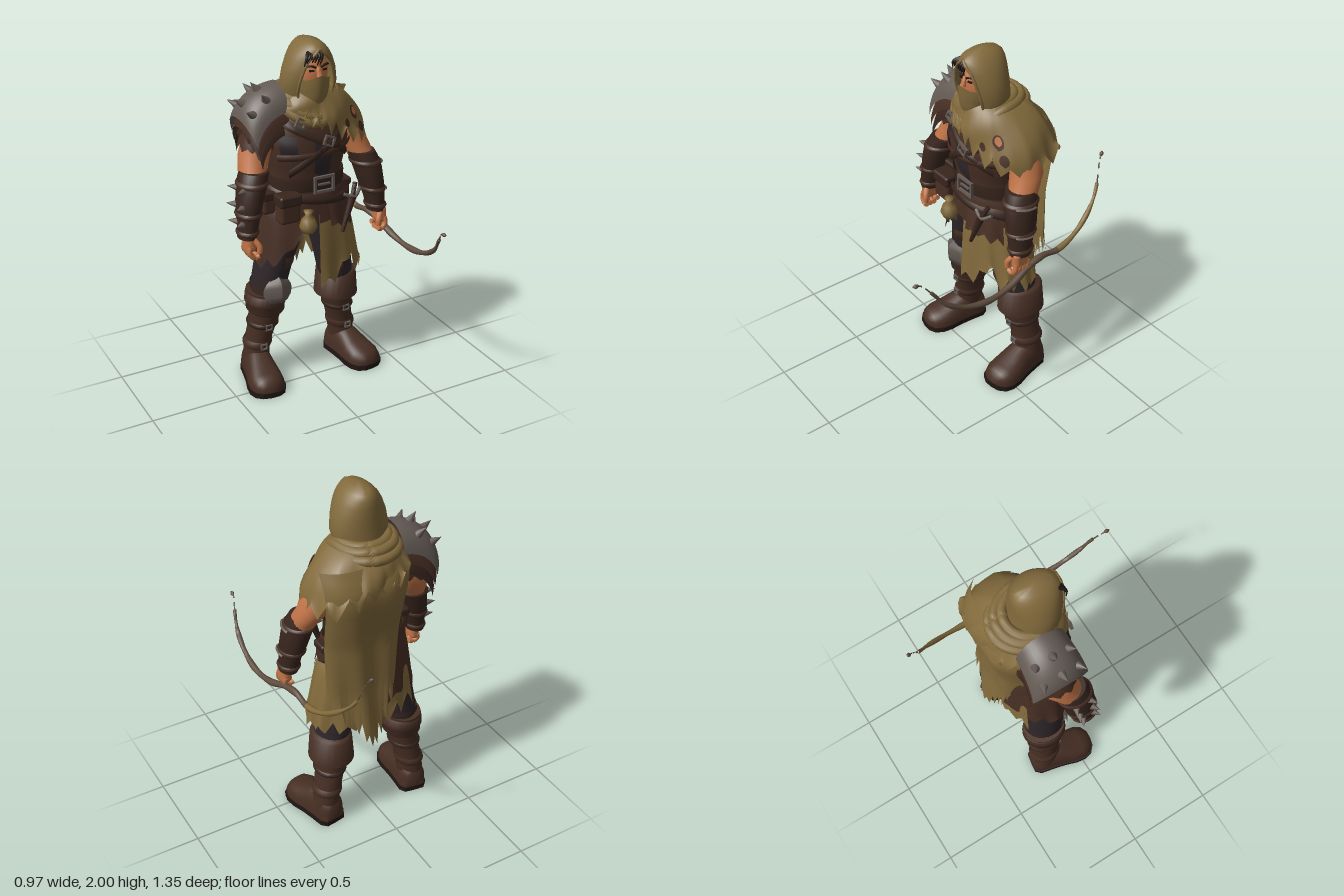
import * as THREE from 'three';
import { mergeVertices, toCreasedNormals } from 'three/addons/utils/BufferGeometryUtils.js';
import { RoundedBoxGeometry } from 'three/addons/geometries/RoundedBoxGeometry.js';

const { sin, cos, PI, abs, floor, exp, max } = Math;
const paint = (name, color) => new THREE.MeshStandardMaterial({ name, color, side: THREE.DoubleSide });
const tan = paint('tan cloth', 0x826a3c), leather = paint('brown leather', 0x472f24), dark = paint('dark leather', 0x38251d);
const trouser = paint('dark cloth', 0x2f272a), skin = paint('skin', 0xc27548), metal = paint('dull metal', 0x655b55);
const wood = paint('bow wood', 0x5f4d3f), black = paint('hair and soles', 0x211713);

const hash = n => { const s = sin(n * 127.1 + 3.7) * 43758.5; return s - floor(s); };
// pointed tears of varying depth
const rag = t => { const k = floor(t), f = t - k; return (0.35 + 0.65 * hash(k)) * (1 - abs(2 * f - 1)); };
const lerp = (a, b, t) => a + (b - a) * t;

// surface from a rule fn(u, v) -> [x, y, z]
function grid(nu, nv, fn) {
  const pos = [], idx = [];
  for (let j = 0; j <= nv; j++) for (let i = 0; i <= nu; i++) pos.push(...fn(i / nu, j / nv));
  for (let j = 0; j < nv; j++) for (let i = 0; i < nu; i++) {
    const a = j * (nu + 1) + i, b = a + nu + 1;
    idx.push(a, a + 1, b + 1, a, b + 1, b);
  }
  const g = new THREE.BufferGeometry();
  g.setAttribute('position', new THREE.Float32BufferAttribute(pos, 3));
  g.setIndex(idx);
  return toCreasedNormals(mergeVertices(g, 1e-5), 0.9);
}
// interpolate a table whose first column is the key
function at(rows, k) {
  let i = 0;
  while (i < rows.length - 2 && k > rows[i + 1][0]) i++;
  const t = Math.min(1, max(0, (k - rows[i][0]) / (rows[i + 1][0] - rows[i][0])));
  return rows[i].map((c, n) => lerp(c, rows[i + 1][n], t));
}
// rows of ellipses [y, cx, cz, rx, rz], bottom to top
const ring = ([y, cx, cz, rx, rz], a, off = 0) => [cx + (rx + off) * sin(a), y, cz + (rz + off) * cos(a)];
function loft(rows, capped = true) {
  const end = r => [r[0], r[1], r[2], 0, 0];
  const all = capped ? [end(rows[0]), ...rows, end(rows[rows.length - 1])] : rows;
  return grid(24, all.length - 1, (u, v) => ring(all[Math.round(v * (all.length - 1))], u === 1 ? 0 : u * 2 * PI));
}
// strap lying on a lofted body
const strip = (rows, a0, y0, a1, y1, w, off = 0.008) => grid(28, 4, (u, v) => {
  const y = lerp(y0, y1, u) + (v - 0.5) * w;
  return ring([y, ...at(rows, y).slice(1)], lerp(a0, a1, u), off + 0.008 * sin(v * PI));
});
// tapered round bar along a curve
function bar(points, radius, t0 = 0, t1 = 1, n = 24, closed = false) {
  const c = new THREE.CatmullRomCurve3(points.map(p => new THREE.Vector3(...p)), closed);
  const ref = new THREE.Vector3(0.9, 0.1, 0.35);
  return grid(10, n + 2, (u, v) => {
    const j = Math.round(v * (n + 2)) - 1, k = Math.min(n, max(0, j));
    const t = lerp(t0, t1, k / n), T = c.getTangent(t), A = ref.clone().cross(T).normalize(), B = T.clone().cross(A);
    const r = !closed && (j < 0 || j > n) ? 0 : (typeof radius === 'function' ? radius(t) : radius);
    return c.getPoint(t).addScaledVector(A, r * cos(u * 2 * PI)).addScaledVector(B, r * sin(u * 2 * PI)).toArray();
  });
}
// hanging ragged cloth around the hips
const skirt = (a0, a1, top, hem, rx, rz, teeth, depth) => grid(teeth * 6, 10, (u, v) => {
  const a = lerp(a0, a1, u), f = 1 + 0.03 * v * sin(u * teeth * 4), w = v ** 0.55;
  const y = lerp(top, hem(u), v) + depth * rag(u * teeth) * v ** 5;
  return ring([y, 0, -0.12, lerp(0.235, rx, w) * f, lerp(0.165, rz, w) * f], a);
});

export function createModel() {
  const root = new THREE.Group();
  const add = (name, geo, mat, p = [0, 0, 0], parent = root) => {
    const m = new THREE.Mesh(geo, mat);
    m.name = name; m.position.set(...p); parent.add(m);
    return m;
  };
  const spike = (name, p, dir, r, h) => {
    const m = add(name, new THREE.ConeGeometry(r, h, 10), metal, p);
    m.quaternion.setFromUnitVectors(new THREE.Vector3(0, 1, 0), new THREE.Vector3(...dir).normalize());
  };

  // torso, straps and belts
  const torso = [[1, 0, -0.12, 0.23, 0.16], [1.12, 0, -0.11, 0.22, 0.155], [1.22, 0, -0.11, 0.2, 0.15], [1.32, 0, -0.1, 0.215, 0.165],
    [1.44, 0, -0.1, 0.24, 0.18], [1.54, 0, -0.11, 0.24, 0.165], [1.61, 0, -0.11, 0.18, 0.14], [1.67, 0, -0.1, 0.09, 0.1]];
  add('jerkin', loft(torso), leather);
  add('jerkinHem', skirt(0, 2 * PI, 1.17, () => 0.99, 0.255, 0.185, 9, 0.03), leather);
  add('chestPanel', strip(torso, -0.15, 1.38, 0.28, 1.33, 0.18, 0.001), trouser);
  add('chestPatch', strip(torso, -1, 1.45, -0.55, 1.44, 0.12, 0.001), trouser);
  add('chestStrapUpper', strip(torso, -0.9, 1.58, 0.95, 1.36, 0.045), dark);
  add('chestStrapLower', strip(torso, -1.1, 1.38, 1.1, 1.42, 0.04), leather);
  add('chestStrapCross', strip(torso, 0.75, 1.54, -0.8, 1.29, 0.05, 0.012), dark);
  add('belt', strip(torso, 0, 1.22, 2 * PI, 1.22, 0.08, 0.012), dark);
  add('slungBelt', strip(torso, -1.5, 1.19, 1.5, 1.07, 0.045, 0.028), dark);
  const frame = (w, h, t) => {
    const s = new THREE.Shape([[-w, -h], [w, -h], [w, h], [-w, h]].map(p => new THREE.Vector2(...p)));
    s.holes.push(new THREE.Path([[-w + t, -h + t], [-w + t, h - t], [w - t, h - t], [w - t, -h + t]].map(p => new THREE.Vector2(...p))));
    return new THREE.ExtrudeGeometry(s, { depth: 0.015, bevelEnabled: false });
  };
  add('beltBuckle', frame(0.062, 0.048, 0.014), metal, [0.025, 1.22, 0.058]);
  add('buckleTongue', new THREE.BoxGeometry(0.07, 0.01, 0.012), metal, [0.025, 1.22, 0.066]);
  add('strapBuckle', frame(0.032, 0.028, 0.01), metal, [0.04, 1.47, 0.085]).rotation.z = -0.4;
  add('shoulderBuckle', frame(0.03, 0.026, 0.01), metal, [-0.11, 1.58, 0.05]).rotation.z = -0.5;

  // pouches and dagger
  for (const [x, y, z, w, h] of [[-0.18, 1.11, 0.035, 0.12, 0.16], [-0.25, 1.12, -0.08, 0.08, 0.13], [0.24, 1.1, -0.13, 0.07, 0.11]]) {
    add('pouch', new RoundedBoxGeometry(w, h, 0.09, 3, 0.02), leather, [x, y, z]);
    add('pouchFlap', new RoundedBoxGeometry(w + 0.012, h * 0.4, 0.1, 3, 0.015), dark, [x, y + h * 0.32, z + 0.002]);
  }
  add('coinBag', new THREE.LatheGeometry([[0, -0.075], [0.035, -0.068], [0.05, -0.035], [0.038, 0.005], [0.016, 0.03], [0.026, 0.055], [0, 0.058]]
    .map(p => new THREE.Vector2(...p)), 16), tan, [-0.085, 1.04, 0.09]);
  add('daggerGrip', bar([[0.22, 1.19, 0.06], [0.19, 1.12, 0.085]], 0.013), dark);
  add('daggerGuard', bar([[0.14, 1.14, 0.08], [0.2, 1.12, 0.09], [0.25, 1.15, 0.06]], 0.01), metal);
  add('daggerSheath', bar([[0.19, 1.12, 0.085], [0.12, 0.93, 0.1]], t => 0.024 - 0.014 * t), dark);

  // skirts
  add('leatherSkirt', skirt(-PI + 0.1, -0.12, 1.1, u => 0.75 + 0.03 * sin(u * 9) + 0.2 * max(0, u - 0.75) / 0.25, 0.3, 0.2, 7, 0.09), leather);
  add('clothSkirt', skirt(0, PI + 0.75, 1.05, u => 0.6 + 0.04 * u + 0.12 * exp(-(((u - 0.16) / 0.035) ** 2)), 0.34, 0.2, 13, 0.13), tan);
  add('leatherFlap', skirt(0.2, 1.1, 1.14, u => 0.97 - 0.06 * u, 0.285, 0.215, 3, 0.05), leather);

  for (const s of [-1, 1]) {
    const side = s < 0 ? 'right' : 'left', X = rows => rows.map(([y, x, ...r]) => [y, s * x, ...r]);
    // leg
    const leg = X([[0.45, 0.23, -0.16, 0.085, 0.1], [0.6, 0.21, -0.15, 0.1, 0.115], [0.75, 0.18, -0.14, 0.105, 0.125],
      [0.9, 0.14, -0.13, 0.12, 0.14], [1.05, 0.1, -0.12, 0.12, 0.14]]);
    add(side + 'Trouser', loft(leg), trouser);
    add(side + 'TrouserPatch', strip(leg, s * -0.3 - 0.3, 0.7 - s * 0.05, s * -0.3 + 0.3, 0.7 - s * 0.05, 0.07, 0.001), leather);
    // boot
    const boot = X([[0.08, 0.285, -0.19, 0.075, 0.085], [0.2, 0.275, -0.19, 0.073, 0.085], [0.3, 0.252, -0.18, 0.077, 0.09],
      [0.4, 0.235, -0.165, 0.087, 0.103], [0.5, 0.23, -0.165, 0.102, 0.12], [0.55, 0.23, -0.165, 0.105, 0.122]]);
    add(side + 'BootShaft', loft(boot), leather);
    add(side + 'BootCuff', loft(s > 0
      ? X([[0.42, 0.232, -0.17, 0.1, 0.115], [0.42, 0.232, -0.17, 0.125, 0.138], [0.57, 0.23, -0.165, 0.112, 0.13], [0.58, 0.23, -0.165, 0.1, 0.118]])
      : X([[0.41, 0.23, -0.165, 0.09, 0.105], [0.43, 0.23, -0.165, 0.108, 0.122], [0.47, 0.23, -0.165, 0.106, 0.12],
        [0.48, 0.23, -0.165, 0.116, 0.13], [0.53, 0.23, -0.165, 0.11, 0.126], [0.54, 0.23, -0.165, 0.1, 0.118]])), leather);
    for (const [y, w] of [[0.2, 0.05], [0.33, 0.03]]) {
      add(side + 'BootStrap', strip(boot, 0, y + 0.01, 2 * PI, y + 0.01, w, 0.002), y > 0.3 ? dark : leather);
      add(side + 'BootBuckle', frame(0.02, 0.018, 0.007), metal, [s * (y > 0.3 ? 0.25 : 0.275), y + 0.01, y > 0.3 ? -0.082 : -0.1]);
    }
    const foot = new THREE.Group();
    foot.name = side + 'Foot'; foot.position.set(s * 0.285, 0, -0.165); foot.rotation.y = s * 0.16; root.add(foot);
    const shape = [[-0.115, 0, 0], [-0.113, 0.055, 0.1], [-0.08, 0.078, 0.15], [0, 0.082, 0.16], [0.07, 0.088, 0.14], [0.14, 0.1, 0.105],
      [0.2, 0.1, 0.09], [0.245, 0.082, 0.075], [0.27, 0.045, 0.045], [0.275, 0, 0]];
    add('footUpper', grid(16, 9, (u, v) => {
      const [z, w, h] = shape[Math.round(v * 9)], c = cos(u * PI);
      return [w * Math.sign(c) * abs(c) ** 0.8, 0.025 + h * sin(u * PI) ** 0.8, z];
    }), leather, [0, 0, 0], foot);
    const edge = [...shape.map(([z, w]) => [w, z]), ...shape.slice(1, -1).reverse().map(([z, w]) => [-w, z])];
    const sole = new THREE.ExtrudeGeometry(new THREE.Shape(edge.map(([x, z]) => new THREE.Vector2(x * 1.06, -z * 1.02))), { depth: 0.03, bevelEnabled: false });
    add('sole', sole.rotateX(-PI / 2), black, [0, 0, 0], foot);

    // arm and bracer
    const arm = X([[1.22, 0.355, -0.05, 0.06, 0.075], [1.3, 0.33, -0.08, 0.075, 0.082], [1.38, 0.298, -0.125, 0.085, 0.09], [1.46, 0.272, -0.13, 0.087, 0.096],
      [1.55, 0.235, -0.13, 0.08, 0.09], [1.62, 0.2, -0.13, 0.055, 0.07], [1.65, 0.18, -0.13, 0.03, 0.04]]);
    add(side + 'Arm', loft(arm), skin);
    if (s < 0) add('rightSleeve', grid(60, 5, (u, v) => {
      const y = lerp(1.62, 1.42, v) + 0.06 * rag(u * 10) * v ** 4;
      return ring([y, ...at(arm, y).slice(1)], u * 2 * PI, 0.014);
    }), leather);
    const bracer = X([[0.97, 0.4, -0.015, 0.05, 0.064], [1.05, 0.39, -0.02, 0.057, 0.072], [1.14, 0.375, -0.035, 0.07, 0.088],
      [1.23, 0.355, -0.045, 0.078, 0.096], [1.29, 0.337, -0.06, 0.08, 0.09], [1.32, 0.325, -0.07, 0.078, 0.088]]);
    add(side + 'Bracer', loft(bracer), dark);
    for (const y of [1.0, 1.1, 1.26]) add(side + 'BracerStrap', strip(bracer, 0, y, 2 * PI, y, 0.028, 0.001), leather);
    if (s > 0) for (const y of [1.1, 1.26]) add('bracerPlate', strip(bracer, 0.7, y, 1.9, y - 0.01, 0.014, 0.008), metal);
    else for (const y of [1.06, 1.15, 1.24]) for (const a of [-1.05, -2]) spike('bracerSpike', ring(at(bracer, y), a, 0.02), [sin(a), 0.15, cos(a)], 0.022, 0.06);

    // hand
    const hx = s * (s > 0 ? 0.415 : 0.395);
    add(side + 'Palm', new RoundedBoxGeometry(0.055, 0.1, 0.095, 3, 0.024), skin, [hx, 0.945, 0]);
    for (let i = 0; i < 4; i++) {
      const z = 0.038 - i * 0.025, d = i === 3 ? 0.015 : 0;
      add(side + 'Finger', bar([[hx + s * 0.012, 0.93, z], [hx + s * 0.016, 0.895, z + 0.004], [hx - s * 0.008, 0.865 + d, z + 0.008], [hx - s * 0.035, 0.872 + d, z + 0.01]], 0.0145, 0, 1, 8), skin);
    }
    add(side + 'Thumb', bar([[hx - s * 0.01, 0.97, 0.03], [hx - s * 0.035, 0.93, 0.055], [hx - s * 0.035, 0.895, 0.055]], 0.016, 0, 1, 8), skin);
  }

  // knee guard
  add('kneeGuard', grid(8, 6, (u, v) => {
    const w = [0.02, 0.058, 0.08, 0.088, 0.085, 0.07, 0.03][Math.round(v * 6)], k = 2 * u - 1;
    return [-0.208 + w * k, lerp(0.51, 0.68, v) - 0.02 * abs(k), 0.015 - 0.06 * abs(k) * w / 0.085 - 0.8 * (v - 0.5) ** 4];
  }), metal);
  add('kneeStrap', loft([[0.57, -0.213, -0.152, 0.106, 0.122], [0.6, -0.21, -0.15, 0.106, 0.122]], false), dark);

  // shoulder guard: spiked plate curving down in front and behind, over two leather lames
  const guard = (u, v, out, drop) => {
    const t = lerp(0.05, 1.4, v), k = 2 * u - 1;
    return [-0.14 - (0.25 + out) * sin(t) * (1 - 0.18 * k * k), 1.765 - drop - 0.2 * (1 - cos(t)) - 0.13 * k * k, -0.135 + 0.165 * sin(k * 1.4) * lerp(0.85, 1, v)];
  };
  add('shoulderPlate', grid(16, 12, (u, v) => guard(u, v, 0, 0)), metal);
  add('shoulderLame', grid(48, 12, (u, v) => guard(u, v, -0.015, 0.06)), leather);
  add('shoulderLameLower', grid(48, 12, (u, v) => { const p = guard(u, v, -0.03, 0.12); p[1] += 0.03 * rag(u * 8) * v ** 5; return p; }), dark);
  for (const u of [0.24, 0.5, 0.76]) for (const v of [0.38, 0.74]) {
    spike('shoulderSpike', guard(u, v, 0.01, -0.015), [-0.35 - v, 1.1 - v * 0.6, (u - 0.5) * 2], 0.032, 0.08);
  }

  // head, mask and hair
  add('head', loft([[1.62, 0, -0.09, 0.07, 0.07], [1.72, 0, -0.06, 0.075, 0.09], [1.78, 0, -0.05, 0.09, 0.095], [1.85, 0, -0.05, 0.094, 0.096],
    [1.91, 0, -0.06, 0.08, 0.085], [1.95, 0, -0.07, 0.04, 0.05]]), skin);
  add('nose', bar([[0, 1.865, 0.042], [0, 1.815, 0.058]], t => 0.008 + 0.008 * t, 0, 1, 6), skin);
  const mask = [[1.63, 0, -0.05, 0.07, 0.085], [1.69, 0, -0.045, 0.085, 0.105], [1.76, 0, -0.045, 0.097, 0.112], [1.83, 0, -0.045, 0.1, 0.112]];
  add('faceMask', grid(20, 8, (u, v) => {
    const a = lerp(-1.5, 1.5, u), y = lerp(1.63, 1.8 + 0.025 * exp(-a * a * 6), v);
    return ring(at(mask, y), a, 0.01 * exp(-a * a * 8) * v);
  }), tan);
  for (const s of [-1, 1]) {
    add('eye', new THREE.BoxGeometry(0.026, 0.009, 0.008), black, [s * 0.037, 1.847, 0.041]).rotation.y = s * 0.35;
    add('brow', bar([[s * 0.015, 1.863, 0.047], [s * 0.04, 1.873, 0.042], [s * 0.065, 1.87, 0.026]], 0.006, 0, 1, 6), black);
  }
  for (let i = 0; i < 7; i++) {
    const x = -0.075 + i * 0.015;
    add('hairStrand', bar([[x * 0.6, 1.945, 0.02], [x, 1.925, 0.058], [x - 0.012, 1.875 + 0.035 * hash(i), 0.054]], t => 0.013 * (1 - 0.8 * t), 0, 1, 8), black);
  }

  // hood: [y, cx, cz, rx, rz, half angle of the opening]
  const hood = [[1.62, 0, -0.09, 0.125, 0.12, 0.55], [1.7, 0, -0.085, 0.146, 0.12, 0.72], [1.76, 0, -0.073, 0.158, 0.125, 0.72], [1.84, 0, -0.065, 0.143, 0.132, 0.66],
    [1.9, 0, -0.062, 0.12, 0.132, 0.55], [1.935, 0, -0.062, 0.1, 0.128, 0.3], [1.962, 0, -0.062, 0.077, 0.118, 0], [1.985, 0, -0.065, 0.05, 0.088, 0], [2, 0, -0.07, 0, 0, 0]];
  add('hood', grid(36, 8, (u, v) => { const r = hood[Math.round(v * 8)]; return ring(r, lerp(r[5], 2 * PI - r[5], u)); }), tan);
  for (const s of [-1, 1]) add('hoodRim', bar(hood.slice(0, 7).map(r => ring(r, s * r[5], 0)), 0.008), tan);

  // neck scarf rolls dipping in front: [half width, front, back, height, dip, thickness]
  for (const [rx, rf, rb, y, dip, r] of [[0.135, 0.12, 0.14, 1.715, 0.07, 0.028], [0.158, 0.145, 0.18, 1.7, 0.1, 0.03], [0.175, 0.155, 0.215, 1.67, 0.1, 0.028]]) {
    const pts = [...Array(16)].map((_, i) => { const a = i * PI / 8, c = cos(a); return [rx * sin(a), y - dip * max(0, c) ** 1.5, -0.095 + (c > 0 ? rf : rb) * c]; });
    add('scarfRoll', bar(pts, r, 0, 1, 48, true), tan);
  }

  // mantle: [angle from front, hem reach, hem height]
  const hem = [[-PI, 0.265, 1.5], [-2.2, 0.26, 1.53], [-1.57, 0.2, 1.62], [-0.7, 0.19, 1.59], [0, 0.18, 1.53], [0.7, 0.235, 1.44], [1.1, 0.29, 1.4], [1.57, 0.37, 1.39],
    [2.2, 0.39, 1.41], [2.5, 0.33, 1.44], [PI, 0.265, 1.5]];
  const mantleAt = (a, v, off = 0) => {
    const [, r1, y1] = at(hem, a), t = v * PI / 2;
    const r = lerp(0.12, r1, 0.75 * sin(t) + 0.25 * v) + 0.008 * sin(a * 5 + v * 9) * v + off;
    return [r * sin(a), lerp(1.73, y1, 0.75 * (1 - cos(t)) + 0.25 * v) + off, -0.1 + r * cos(a)];
  };
  add('mantle', grid(132, 14, (u, v) => {
    const a = lerp(-PI, PI, u), p = mantleAt(a, v);
    p[1] += 0.1 * rag(u * 22) * v ** 6;
    return p;
  }), tan);
  // worn holes in the mantle
  for (const [a, v, size, mat, off] of [[1.12, 0.62, 0.11, leather, 0.004], [1.12, 0.61, 0.07, skin, 0.007], [1.2, 0.82, 0.08, leather, 0.004], [0.8, 0.75, 0.07, leather, 0.004]])
    add('mantleHole', grid(12, 2, (u, w) => mantleAt(a + size * w * cos(u * 2 * PI), v - size * w * sin(u * 2 * PI) * (0.7 + 0.3 * hash(floor(u * 12) % 12)), off)), mat);

  // cape, falling from the mantle
  const fall = [[0.55, -0.365], [0.9, -0.325], [1.2, -0.325], [1.47, -0.37], [1.55, -0.362], [1.65, -0.305]];
  add('cape', grid(96, 20, (u, v) => {
    const k = 2 * u - 1, low = 0.58 + 0.28 * k * k + 0.04 * sin(u * 11), y = lerp(1.65, low, v) + 0.17 * rag(u * 12) * v ** 6;
    return [lerp(-0.18 + 0.05 * v, 0.32 - 0.02 * v, u), y, at(fall, y)[1] + 0.08 * k ** 4 + 0.012 * sin(u * 15 + v * 3) * v];
  }), tan);

  // bow
  const bow = [[0.4, 1.08, 0.67], [0.405, 1.07, 0.63], [0.43, 1.0, 0.57], [0.447, 0.92, 0.51], [0.46, 0.85, 0.4], [0.465, 0.815, 0.25], [0.455, 0.83, 0.1], [0.435, 0.885, -0.05],
    [0.425, 0.9, -0.15], [0.42, 0.885, -0.26], [0.405, 0.93, -0.4], [0.37, 1.02, -0.53], [0.335, 1.1, -0.6], [0.295, 1.24, -0.65], [0.28, 1.28, -0.68]];
  const width = t => 0.003 + 0.015 * max(0, sin(PI * (t - 0.08) / 0.84)) ** 0.7 + 0.002 * sin(t * 60);
  add('bowFrontLimb', bar(bow, width, 0.13, 0.64, 40), wood);
  add('bowRearLimb', bar(bow, width, 0.64, 0.87, 24), tan);
  for (const [t0, t1] of [[0.06, 0.08], [0.1, 0.13], [0.87, 0.89], [0.905, 0.92], [0.935, 0.95]]) add('bowTipCord', bar(bow, 0.004, t0, t1, 4), wood);
  add('bowTip', bar(bow, t => 0.004 + 0.007 * sin(t / 0.06 * PI), 0, 0.06, 8), wood);
  add('bowTipRear', bar(bow, t => 0.004 + 0.007 * sin((1 - t) / 0.045 * PI), 0.955, 1, 8), wood);
  return root;
}
